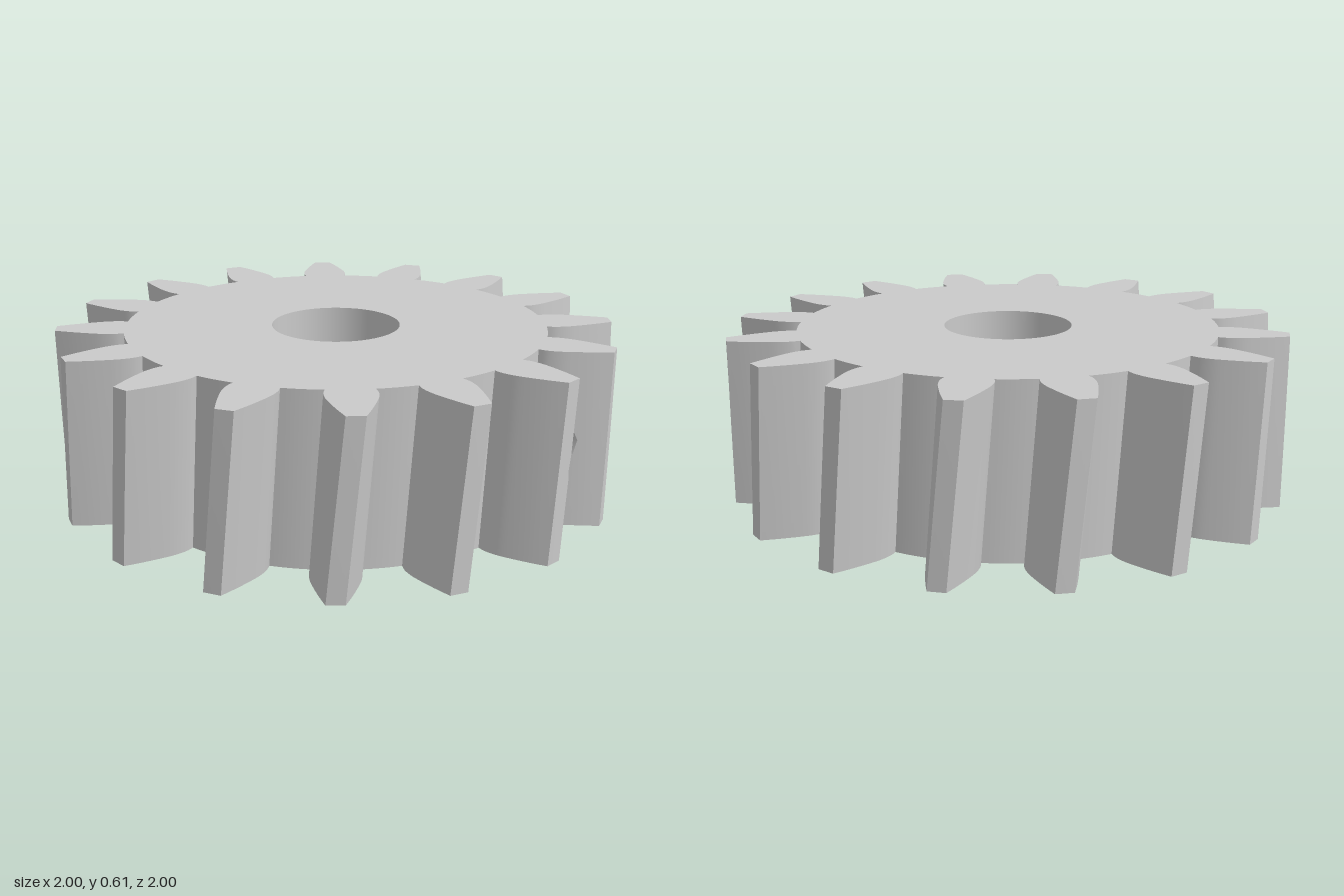
import * as THREE from 'three';
import { toCreasedNormals } from 'three/addons/utils/BufferGeometryUtils.js';

const TEETH = 16, HEIGHT = 0.61, MID = HEIGHT / 2;
const TWIST = 0.06 / HEIGHT;              // helix angle per unit of height, zero at the base
const ROOT = 0.752, BORE = 0.23, BORE_SIDES = 144;
const HOLE = 0.14, HOLE_ANGLE = Math.PI / TEETH; // screw hole sits in a tooth gap

// One tooth flank: radius, half width
const flank = new THREE.SplineCurve([
  [ROOT, 0.079], [0.785, 0.085], [0.83, 0.082], [0.88, 0.07], [0.94, 0.052], [0.9995, 0.031],
].map(([r, w]) => new THREE.Vector2(r, w)));

// Gear outline at the base as [radius, angle], counter-clockwise
function gearOutline() {
  const N = 28, TIP = 12, half = [], out = [];
  for (let i = 0; i <= N; i++) {
    const p = flank.getPoint(1 - (1 - i / N) ** 1.5); // denser towards the tip
    half.push([p.length(), Math.atan2(p.y, p.x)]);
  }
  const [rootR, rootA] = half[0];
  const tip = flank.getPoint(1);
  const gap = 2 * Math.PI / TEETH - 2 * rootA;
  for (let t = 0; t < TEETH; t++) {
    const c = t * 2 * Math.PI / TEETH;
    half.forEach(([r, a]) => out.push([r, c - a]));
    for (let i = 1; i < TIP; i++) {
      const w = tip.y * (2 * i / TIP - 1);
      out.push([Math.hypot(tip.x, w), c + Math.atan2(w, tip.x)]);
    }
    half.slice().reverse().forEach(([r, a]) => out.push([r, c + a]));
    for (let i = 1; i < 8; i++) out.push([rootR, c + rootA + gap * i / 8]);
  }
  return out;
}

function boreOutline() {
  return Array.from({ length: BORE_SIDES }, (_, i) =>
    [BORE, HOLE_ANGLE + i * 2 * Math.PI / BORE_SIDES]);
}

const polar = (r, a, y) => new THREE.Vector3(r * Math.cos(a), y, -r * Math.sin(a));

// Vertical edge of a wall, split where the screw hole crosses it
function column([r, a], twist) {
  const at = y => polar(r, a + twist * y, y);
  const crossing = sign => {
    let y = MID;
    for (let i = 0; i < 12; i++) {
      const d = a + twist * y - HOLE_ANGLE;
      const u = r * Math.sin(d);
      y = Math.cos(d) > 0 ? MID + sign * Math.sqrt(Math.max(0, HOLE * HOLE - u * u)) : MID;
    }
    return y;
  };
  const lo = crossing(-1), hi = crossing(1);
  return { bottom: at(0), lo: at(lo), hi: at(hi), top: at(HEIGHT), open: hi - lo > 1e-4 };
}

function quad(list, a, b, c, d) {
  for (const p of [a, b, c, a, c, d]) list.push(p.x, p.y, p.z);
}

function toGeometry(list, crease) {
  const g = new THREE.BufferGeometry();
  g.setAttribute('position', new THREE.Float32BufferAttribute(list, 3));
  return toCreasedNormals(g, crease);
}

function wall(cols) {
  const list = [];
  cols.forEach((a, i) => {
    const b = cols[(i + 1) % cols.length];
    quad(list, a.bottom, b.bottom, b.lo, a.lo);
    quad(list, a.hi, b.hi, b.top, a.top);
  });
  return toGeometry(list, 0.45);
}

// Screw hole lining, from the tooth gap straight in to the bore
function tunnel(cols) {
  const axis = polar(1, HOLE_ANGLE, 0);
  const side = polar(1, HOLE_ANGLE + Math.PI / 2, 0);
  const inner = p => {
    const u = THREE.MathUtils.clamp(p.dot(side), -HOLE, HOLE);
    const q = axis.clone().multiplyScalar(Math.sqrt(BORE * BORE - u * u)).addScaledVector(side, u);
    q.y = p.y;
    return q;
  };
  const list = [];
  cols.forEach((a, i) => {
    const b = cols[(i + 1) % cols.length];
    if (!a.open && !b.open) return;
    quad(list, a.lo, b.lo, inner(b.lo), inner(a.lo));
    quad(list, b.hi, a.hi, inner(a.hi), inner(b.hi));
  });
  return toGeometry(list, 0.9);
}

// Flat end face with the bore cut out
function endFace(outline, bore, y) {
  const flat = (pts, turn) => pts.map(([r, a]) =>
    new THREE.Vector2(r * Math.cos(a + turn), r * Math.sin(a + turn)));
  const shape = new THREE.Shape(flat(outline, TWIST * y));
  shape.holes.push(new THREE.Path(flat(bore, 0)));
  const g = new THREE.ShapeGeometry(shape);
  g.rotateX(-Math.PI / 2).translate(0, y, 0);
  if (y === 0) { // underside faces down
    g.index.array.reverse();
    g.computeVertexNormals();
  }
  return g;
}

export function createModel() {
  const gear = new THREE.Group();
  gear.name = 'helicalGear';
  const steel = new THREE.MeshStandardMaterial({ color: 0xcacaca, side: THREE.DoubleSide });
  steel.name = 'grey steel';
  const add = (name, geometry) => {
    const mesh = new THREE.Mesh(geometry, steel);
    mesh.name = name;
    gear.add(mesh);
  };

  const outline = gearOutline(), bore = boreOutline();
  const toothCols = outline.map(p => column(p, TWIST));
  const boreCols = bore.map(p => column(p, 0)).reverse();

  add('toothedRim', wall(toothCols));
  add('boreWall', wall(boreCols));
  add('screwHole', tunnel(toothCols));
  add('topFace', endFace(outline, bore, HEIGHT));
  add('bottomFace', endFace(outline, bore, 0));
  return gear;
}
